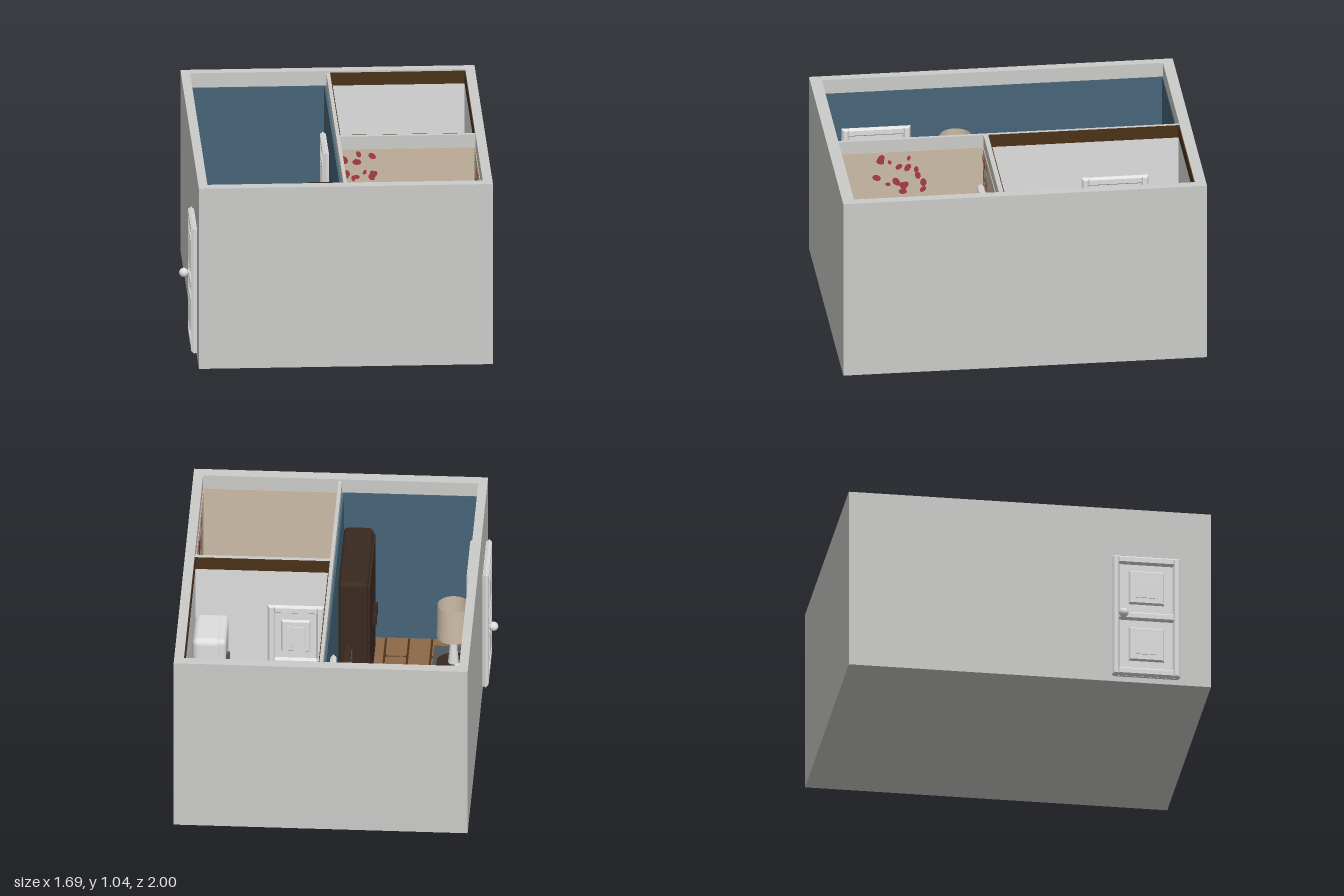
import * as THREE from 'three';
import { RoundedBoxGeometry } from 'three/addons/geometries/RoundedBoxGeometry.js';

const mat = (name, color, side = THREE.FrontSide) => {
  const m = new THREE.MeshStandardMaterial({ color, side });
  m.name = name;
  return m;
};

export function createModel() {
  const root = new THREE.Group();
  root.name = 'apartment';
  const shell = mat('shellGrey', 0xcbcbc9), white = mat('white', 0xdedede), blue = mat('wallBlue', 0x476579),
    cream = mat('cream', 0xccbca6, THREE.DoubleSide), brown = mat('plankBrown', 0x8f6848),
    dark = mat('grooveBrown', 0x4a3218), wood = mat('darkWood', 0x3a2a20), red = mat('red', 0xa83a42, THREE.DoubleSide),
    straw = mat('straw', 0xcaa06a), slate = mat('slate', 0x50575a);

  const add = (name, geo, m, parent = root) => {
    const mesh = new THREE.Mesh(geo, m);
    mesh.name = name;
    parent.add(mesh);
    return mesh;
  };
  const group = (name, parent = root) => {
    const g = new THREE.Group();
    g.name = name;
    parent.add(g);
    return g;
  };
  // Box given by its limits on each axis; r rounds the edges
  const box = (name, [x0, x1], [y0, y1], [z0, z1], m, parent = root, r = 0) => {
    const s = [x1 - x0, y1 - y0, z1 - z0];
    const mesh = add(name, r ? new RoundedBoxGeometry(...s, 4, r) : new THREE.BoxGeometry(...s), m, parent);
    mesh.position.set((x0 + x1) / 2, (y0 + y1) / 2, (z0 + z1) / 2);
    return mesh;
  };
  const cyl = (name, r0, r1, h, pos, m, parent = root, open = false) => {
    const mesh = add(name, new THREE.CylinderGeometry(r0, r1, h, 32, 1, open), m, parent);
    mesh.position.set(...pos);
    return mesh;
  };
  const ball = (name, r, pos, m, parent = root) => {
    const mesh = add(name, new THREE.SphereGeometry(r, 20, 14), m, parent);
    mesh.position.set(...pos);
    return mesh;
  };

  // Outer shell and partitions
  const X0 = -0.765, X1 = 0.843, IX0 = -0.715, IX1 = 0.79, IZ0 = -0.94, IZ1 = 0.935, H = 1.04;
  const walls = group('walls');
  box('floorSlab', [X0, X1], [0, 0.022], [-1, 1], shell, walls);
  box('leftOuterWall', [IX1, X1], [0.022, H], [-1, 1], shell, walls);
  box('rightOuterWall', [X0, IX0], [0.022, H], [-1, 1], shell, walls);
  box('backWall', [IX0, IX1], [0.022, H], [-1, IZ0], shell, walls);
  box('frontWall', [IX0, IX1], [0.022, H], [IZ1, 1], shell, walls);
  box('longPartition', [0.03, 0.05], [0.022, 1.03], [IZ0, IZ1], shell, walls);
  box('crossPartition', [0.05, IX1], [0.022, 1.03], [0.11, 0.136], shell, walls);

  // Wall lining of one room: four panels of thickness t
  const line = (name, x0, x1, z0, z1, y0, y1, m, t = 0.004) => {
    const g = group(name);
    box('liningRight', [x0, x0 + t], [y0, y1], [z0, z1], m, g);
    box('liningLeft', [x1 - t, x1], [y0, y1], [z0, z1], m, g);
    box('liningBack', [x0 + t, x1 - t], [y0, y1], [z0, z0 + t], m, g);
    box('liningFront', [x0 + t, x1 - t], [y0, y1], [z1 - t, z1], m, g);
  };
  const B = 0.957;
  line('livingRoomLining', IX0, 0.03, IZ0, IZ1, 0.022, B, blue);
  box('partitionLining', [0.018, 0.026], [0.022, B], [IZ0, IZ1], blue);
  line('kitchenLining', 0.05, IX1, IZ0, 0.11, 0.022, B, white);
  line('kitchenTopTrim', 0.05, IX1, IZ0, 0.11, B, 1.03, dark);
  line('bedroomLining', 0.05, IX1, 0.136, IZ1, 0.022, B, cream);

  // Floor: rounded planks in staggered columns over dark grooves
  const floor = group('floor');
  box('floorGrooves', [IX0, IX1], [0.022, 0.026], [IZ0, IZ1], dark, floor);
  const plank = (x0, x1, z0, z1) => {
    const r = 0.018, s = new THREE.Shape();
    s.moveTo(x0 + r, -z0);
    s.lineTo(x1 - r, -z0).quadraticCurveTo(x1, -z0, x1, -z0 - r);
    s.lineTo(x1, -z1 + r).quadraticCurveTo(x1, -z1, x1 - r, -z1);
    s.lineTo(x0 + r, -z1).quadraticCurveTo(x0, -z1, x0, -z1 + r);
    s.lineTo(x0, -z0 - r).quadraticCurveTo(x0, -z0, x0 + r, -z0);
    const geo = new THREE.ExtrudeGeometry(s, { depth: 0.006, bevelEnabled: false, curveSegments: 4 });
    const p = add('plank', geo.rotateX(-Math.PI / 2), brown, floor);
    p.position.y = 0.026;
  };
  for (let c = 0; c < 12; c++) {
    const x = -0.718 + c * 0.1265;
    for (let k = 0; k < 5; k++) {
      const z = (c % 2 ? -1.24 : -0.98) + k * 0.495 + (c % 2 ? 0.25 - 0.245 : -0.005);
      const z0 = Math.max(z + 0.007, IZ0), z1 = Math.min(z + 0.488, IZ1);
      if (z1 - z0 > 0.05) plank(Math.max(x + 0.006, IX0), Math.min(x + 0.1205, IX1), z0, z1);
    }
  }

  // Door leaf facing local +z: frame, two raised panels and knob
  const doorFace = (name, w, x, z, turn, knobSide) => {
    const g = group(name);
    g.position.set(x, 0.03, z);
    g.rotation.y = turn;
    const raised = (part, cx, cy, pw, ph, z0, d) => {
      const b = d * 0.7;
      const s = new THREE.Shape([[-1, -1], [1, -1], [1, 1], [-1, 1]].map(
        ([a, c]) => new THREE.Vector2(a * (pw / 2 - b), c * (ph / 2 - b))));
      const geo = new THREE.ExtrudeGeometry(s, { depth: 0.001, bevelThickness: d, bevelSize: b, bevelSegments: 1 });
      add(part, geo, white, g).position.set(cx, cy, z0 + d);
    };
    box('doorSlab', [-w / 2 + 0.01, w / 2 - 0.01], [0, 0.71], [0, 0.014], white, g);
    for (const s of [-1, 1]) raised('doorStile', s * (w / 2 - 0.022), 0.36, 0.044, 0.72, 0, 0.016);
    for (const y of [0.025, 0.36, 0.695]) raised('doorRail', 0, y, w - 0.06, 0.05, 0, 0.016);
    for (const y of [0.19, 0.53]) {
      raised('doorPanel', 0, y, w * 0.52, 0.2, 0.008, 0.012);
      raised('doorPanelCentre', 0, y, w * 0.34, 0.13, 0.024, 0.005);
    }
    const kx = knobSide * (w / 2 - 0.06);
    cyl('knobStem', 0.01, 0.014, 0.03, [kx, 0.36, 0.035], white, g).rotation.x = Math.PI / 2;
    ball('knob', 0.026, [kx, 0.36, 0.058], white, g);
  };
  const Q = Math.PI / 2;
  doorFace('entranceDoorOutside', 0.38, X0, 0.64, -Q, -1);
  doorFace('entranceDoorInside', 0.38, IX0 + 0.004, 0.64, Q, 1);
  doorFace('kitchenDoorLivingSide', 0.37, 0.018, -0.585, -Q, 1);
  doorFace('kitchenDoorKitchenSide', 0.37, 0.054, -0.585, Q, -1);
  doorFace('bedroomDoorBedSide', 0.31, 0.235, 0.14, 0, -1);
  doorFace('bedroomDoorKitchenSide', 0.31, 0.235, 0.106, Math.PI, 1);

  // Red splashes on the bedroom walls
  let seed = 7;
  const rnd = () => (seed = (seed * 16807) % 2147483647) / 2147483647;
  const splash = (n, place, turn, rMin, rMax) => {
    for (let i = 0; i < n; i++) {
      const m = add('redSplash', new THREE.CircleGeometry(rMin + rnd() * (rMax - rMin), 7), red);
      m.position.set(...place(rnd(), rnd()));
      m.rotation.set(0, turn, 0);
      m.rotateZ(rnd() * 6);
      m.scale.x = 0.7;
    }
  };
  splash(34, (a, b) => [0.784, 0.62 + 0.3 * b, 0.25 + 0.5 * a], -Q, 0.015, 0.05);
  splash(16, (a, b) => [0.056, 0.7 + 0.22 * b, 0.46 + 0.28 * a], Q, 0.012, 0.03);
  splash(14, (a, b) => [0.07 + 0.17 * a, 0.79 + 0.14 * b, 0.142], 0, 0.012, 0.026);

  // Wardrobe
  const wardrobe = group('wardrobe');
  box('wardrobeBody', [-0.15, 0.012], [0.03, 0.81], [0.23, 0.83], wood, wardrobe, 0.025);
  for (const s of [-1, 1]) {
    const z = 0.53 + s * 0.143;
    box('wardrobeDoor', [-0.162, -0.14], [0.07, 0.78], [z - 0.137, z + 0.137], wood, wardrobe, 0.009);
    box('wardrobeHandle', [-0.185, -0.155], [0.4, 0.47], [0.53 + s * 0.053 - 0.012, 0.53 + s * 0.053 + 0.012], wood, wardrobe);
  }

  // Television on its stand
  const tv = group('television');
  box('tvStand', [-0.105, 0.012], [0.03, 0.3], [-0.26, 0.04], wood, tv);
  ball('standKnob', 0.012, [-0.11, -0.0 + 0.2, -0.11], slate, tv);
  box('tvBody', [-0.075, -0.035], [0.33, 0.565], [-0.23, 0.01], wood, tv, 0.012);
  box('tvFoot', [-0.085, -0.025], [0.3, 0.34], [-0.16, -0.06], wood, tv);
  box('tvScreen', [-0.079, -0.074], [0.355, 0.545], [-0.21, -0.01], slate, tv);

  // Armchair
  const chair = group('armchair');
  for (const z of [-0.262, 0.043]) {
    box('armRest', [-0.71, -0.43], [0.27, 0.3], [z - 0.023, z + 0.023], wood, chair);
    for (const x of [-0.68, -0.46]) box('chairLeg', [x - 0.018, x + 0.018], [0.03, 0.27], [z - 0.018, z + 0.018], wood, chair);
  }
  box('seatFrame', [-0.7, -0.44], [0.12, 0.15], [-0.25, 0.03], wood, chair);
  box('seatCushion', [-0.69, -0.43], [0.15, 0.23], [-0.237, 0.018], white, chair, 0.022);
  box('backCushion', [-0.705, -0.63], [0.2, 0.47], [-0.237, 0.018], white, chair, 0.028);

  // Round table with lamp
  const lamp = group('lampTable');
  cyl('tableTop', 0.094, 0.094, 0.025, [-0.62, 0.33, 0.21], wood, lamp);
  cyl('tableLeg', 0.02, 0.05, 0.29, [-0.62, 0.175, 0.21], wood, lamp);
  cyl('lampStem', 0.012, 0.03, 0.2, [-0.62, 0.44, 0.21], white, lamp);
  ball('bulb', 0.026, [-0.62, 0.56, 0.21], white, lamp);
  cyl('lampShade', 0.088, 0.092, 0.2, [-0.62, 0.61, 0.21], cream, lamp, true);

  // Desk with books and telephone
  const desk = group('desk');
  box('deskTop', [-0.71, -0.53], [0.32, 0.35], [-0.86, -0.37], wood, desk, 0.008);
  for (const z of [-0.84, -0.39]) box('deskSide', [-0.705, -0.54], [0.03, 0.325], [z - 0.015, z + 0.015], wood, desk);
  box('deskShelf', [-0.7, -0.545], [0.17, 0.19], [-0.83, -0.4], wood, desk);
  [[-0.64, -0.78, 0.1, cream], [-0.64, -0.74, -0.2, white], [-0.575, -0.68, 0.3, blue], [-0.61, -0.665, -0.25, red]].forEach(([x, z, a, m], i) => {
    box('book', [x - 0.042, x + 0.042], [0.35, 0.372 + i * 0.004], [z - 0.045, z + 0.045], m, desk).rotation.y = a;
  });
  const phone = box('telephone', [-0.665, -0.575], [0.35, 0.39], [-0.535, -0.435], wood, desk, 0.018);
  phone.rotation.y = 0.5;
  const handset = add('handset', new THREE.CapsuleGeometry(0.018, 0.09, 6, 12), wood, desk);
  handset.position.set(-0.62, 0.405, -0.485);
  handset.rotation.set(Q, 0, 0.6);

  // Mats
  box('doorMat', [-0.712, -0.48], [0.03, 0.042], [0.43, 0.85], slate, root, 0.005);
  box('matSlot', [-0.665, -0.625], [0.041, 0.045], [0.615, 0.75], wood);
  box('bedroomRug', [0.062, 0.335], [0.03, 0.037], [0.54, 0.9], straw);

  // Kitchen counter with sink and open book
  const kitchen = group('kitchenCounter');
  box('counterBody', [0.61, 0.786], [0.03, 0.36], [-0.936, -0.26], brown, kitchen);
  box('counterTop', [0.592, 0.786], [0.36, 0.385], [-0.936, -0.25], brown, kitchen);
  for (let i = 0; i < 3; i++) {
    const z = -0.93 + i * 0.222;
    box('counterDoor', [0.603, 0.611], [0.06, 0.34], [z + 0.01, z + 0.215], brown, kitchen);
    ball('counterKnob', 0.01, [0.598, 0.25, z + 0.18], slate, kitchen);
  }
  box('sinkRim', [0.632, 0.742], [0.385, 0.39], [-0.505, -0.33], slate, kitchen);
  box('sinkBowl', [0.642, 0.728], [0.388, 0.392], [-0.48, -0.34], wood, kitchen);
  const spout = new THREE.CatmullRomCurve3([[0.757, 0.385], [0.757, 0.46], [0.725, 0.49], [0.695, 0.45]].map(([x, y]) => new THREE.Vector3(x, y, -0.425)));
  add('tap', new THREE.TubeGeometry(spout, 16, 0.008, 8), slate, kitchen);
  for (const z of [-0.46, -0.39]) cyl('tapHandle', 0.011, 0.011, 0.03, [0.763, 0.4, z], slate, kitchen);
  for (const s of [-1, 1]) {
    const page = box('openBookPage', [0.63, 0.77], [0.395, 0.402], [-0.722 + s * 0.04 - 0.042, -0.722 + s * 0.04 + 0.042], white, kitchen);
    page.rotation.set(s * 0.2, 0.15, 0);
  }

  // Refrigerator
  const fridge = group('refrigerator');
  box('fridgeBody', [0.625, 0.784], [0.04, 0.7], [-0.22, 0.075], white, fridge, 0.035);
  for (const [y0, y1] of [[0.045, 0.44], [0.45, 0.698]]) {
    box('fridgeDoor', [0.6, 0.66], [y0, y1], [-0.218, 0.073], white, fridge, 0.025);
    box('fridgeHandle', [0.582, 0.605], [y0 + 0.06, y0 + 0.15], [-0.195, -0.165], slate, fridge);
  }

  // Bed
  const bed = group('bed');
  box('bedFrame', [0.42, 0.785], [0.09, 0.14], [0.17, 0.925], straw, bed);
  for (const x of [0.44, 0.765]) for (const z of [0.19, 0.9]) box('bedLeg', [x - 0.018, x + 0.018], [0.03, 0.1], [z - 0.018, z + 0.018], straw, bed);
  box('footBoard', [0.42, 0.78], [0.09, 0.25], [0.155, 0.178], straw, bed);
  box('headBoard', [0.42, 0.78], [0.09, 0.34], [0.908, 0.928], brown, bed);
  box('mattress', [0.42, 0.785], [0.14, 0.235], [0.18, 0.908], white, bed, 0.02);
  box('blanket', [0.395, 0.786], [0.2, 0.252], [0.18, 0.785], white, bed, 0.016);
  box('blanketDrape', [0.37, 0.41], [0.08, 0.235], [0.185, 0.78], white, bed, 0.015).rotation.z = -0.12;
  box('pillow', [0.46, 0.72], [0.235, 0.3], [0.735, 0.9], white, bed, 0.03);

  return root;
}
